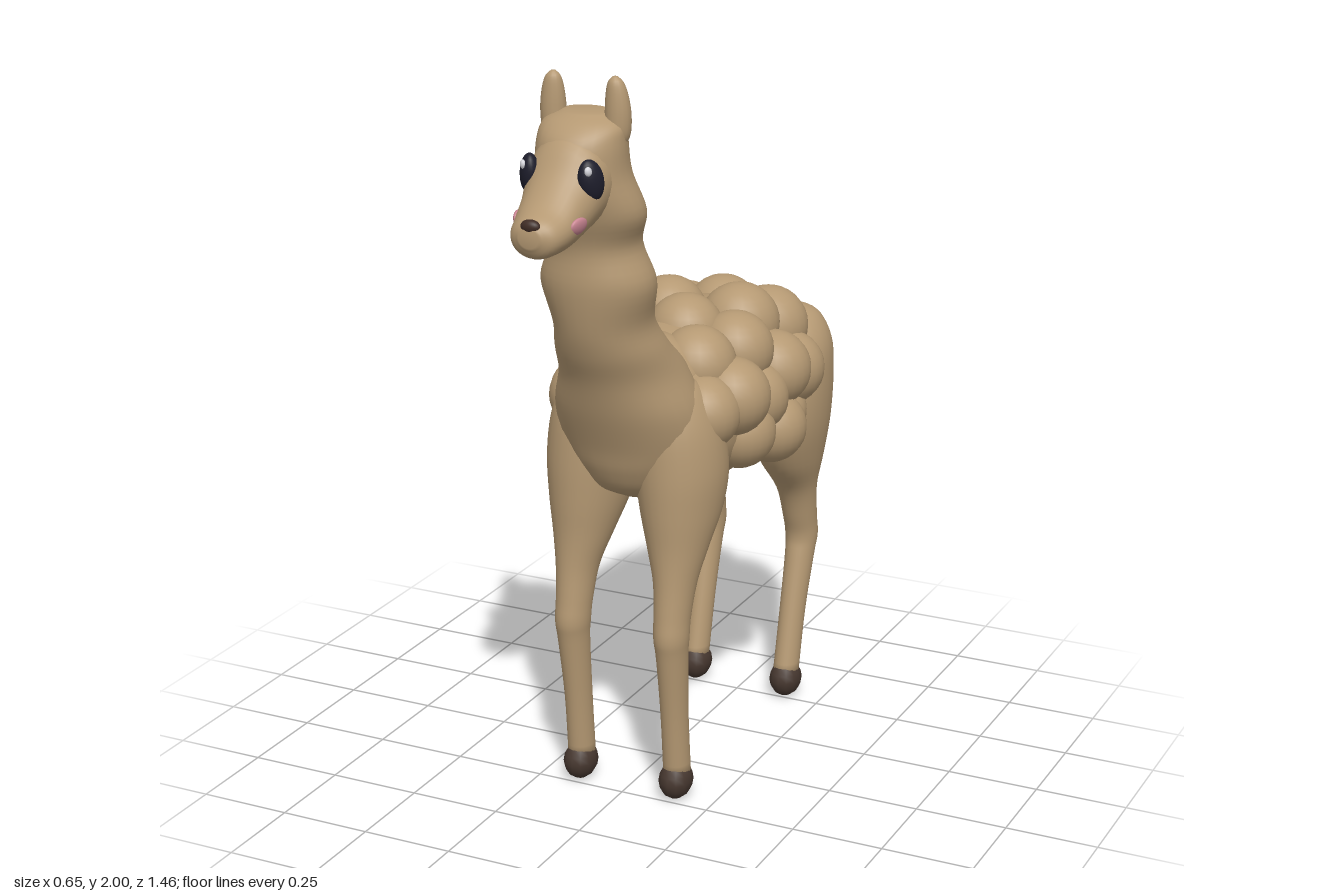
import * as THREE from 'three';

const mat = (name, color) => {
  const m = new THREE.MeshStandardMaterial({ color });
  m.name = name;
  return m;
};

// Smooth skin over elliptical rings [x, y, z, rx, r2], listed in ascending order along the axis.
// Axis 'y' has rings lying flat, axis 'z' has upright rings.
function loft(rings, axis, steps = 5, sides = 28) {
  const path = new THREE.CatmullRomCurve3(rings.map(r => new THREE.Vector3(r[0], r[1], r[2])), false, 'catmullrom', 0.5);
  const size = new THREE.CatmullRomCurve3(rings.map(r => new THREE.Vector3(r[3], r[4], 0)), false, 'catmullrom', 0.5);
  const rows = (rings.length - 1) * steps;
  const pos = [], index = [];
  for (let i = 0; i <= rows; i++) {
    const c = path.getPoint(i / rows), s = size.getPoint(i / rows);
    for (let j = 0; j < sides; j++) {
      const a = (j / sides) * Math.PI * 2;
      const u = Math.cos(a) * s.x, v = Math.sin(a) * s.y;
      if (axis === 'y') pos.push(c.x + u, c.y, c.z + v);
      else pos.push(c.x + u, c.y - v, c.z);
    }
  }
  for (let i = 0; i < rows; i++) {
    for (let j = 0; j < sides; j++) {
      const k = (j + 1) % sides;
      const a = i * sides + j, b = i * sides + k, c = a + sides, d = b + sides;
      index.push(a, c, b, b, c, d);
    }
  }
  // end caps
  const start = pos.length / 3;
  pos.push(...path.getPoint(0).toArray(), ...path.getPoint(1).toArray());
  for (let j = 0; j < sides; j++) {
    const k = (j + 1) % sides;
    index.push(start, j, k, start + 1, rows * sides + k, rows * sides + j);
  }
  const g = new THREE.BufferGeometry();
  g.setAttribute('position', new THREE.Float32BufferAttribute(pos, 3));
  g.setIndex(index);
  g.computeVertexNormals();
  return g;
}

export function createModel() {
  const model = new THREE.Group();
  model.name = 'woollyAnimal';
  const coat = mat('tan coat', 0xb59973);
  const hoofMat = mat('dark hoof', 0x46372f);
  const eyeMat = mat('eye navy', 0x1e1e2c);
  const shineMat = mat('eye shine', 0xd8d8de);
  const blush = mat('cheek pink', 0xc98592);
  const noseMat = mat('nose brown', 0x3f2c25);

  const add = (name, geometry, material, parent = model) => {
    const m = new THREE.Mesh(geometry, material);
    m.name = name;
    parent.add(m);
    return m;
  };
  const ball = (name, material, [x, y, z], [rx, ry, rz], parent = model, seg = 24) => {
    const m = add(name, new THREE.SphereGeometry(1, seg, Math.round(seg * 0.67)), material, parent);
    m.position.set(x, y, z);
    m.scale.set(rx, ry, rz);
    return m;
  };

  // torso, from rump to chest
  add('torso', loft([
    [0, 1.01, -0.67, 0.06, 0.06], [0, 1.01, -0.63, 0.15, 0.13], [0, 1.01, -0.54, 0.2, 0.18],
    [0, 1.015, -0.4, 0.235, 0.215], [0, 1.02, -0.2, 0.25, 0.235], [0, 1.02, 0.0, 0.24, 0.23],
    [0, 1.02, 0.12, 0.21, 0.21], [0, 1.04, 0.22, 0.16, 0.16], [0, 1.05, 0.27, 0.06, 0.06],
  ], 'z'), coat);
  ball('withers', coat, [0, 1.12, 0.09], [0.165, 0.135, 0.14]);

  // chest, neck and skull
  add('neck', loft([
    [0, 0.83, 0.15, 0.05, 0.04], [0, 0.87, 0.155, 0.12, 0.11], [0, 0.93, 0.165, 0.165, 0.138],
    [0, 1.0, 0.175, 0.195, 0.153], [0, 1.1, 0.2, 0.195, 0.17], [0, 1.2, 0.233, 0.162, 0.174],
    [0, 1.28, 0.295, 0.143, 0.152], [0, 1.36, 0.338, 0.127, 0.137], [0, 1.47, 0.365, 0.149, 0.13],
    [0, 1.57, 0.381, 0.119, 0.115], [0, 1.66, 0.41, 0.146, 0.118], [0, 1.76, 0.442, 0.119, 0.122],
    [0, 1.84, 0.446, 0.113, 0.108], [0, 1.885, 0.43, 0.105, 0.085], [0, 1.91, 0.42, 0.06, 0.045],
  ], 'y'), coat);

  // face and muzzle
  add('muzzle', loft([
    [0, 1.76, 0.42, 0.105, 0.11], [0, 1.745, 0.53, 0.105, 0.122], [0, 1.695, 0.6, 0.088, 0.091],
    [0, 1.663, 0.66, 0.077, 0.063], [0, 1.653, 0.705, 0.06, 0.049], [0, 1.658, 0.727, 0.027, 0.024],
  ], 'z'), coat);
  ball('nose', noseMat, [0, 1.686, 0.715], [0.026, 0.017, 0.015]);

  for (const s of [1, -1]) {
    const side = s > 0 ? 'left' : 'right';

    add(side + 'Ear', loft([
      [s * 0.08, 1.81, 0.425, 0.01, 0.01], [s * 0.085, 1.85, 0.425, 0.03, 0.03],
      [s * 0.088, 1.9, 0.427, 0.033, 0.031], [s * 0.087, 1.95, 0.43, 0.029, 0.026],
      [s * 0.085, 1.985, 0.433, 0.02, 0.018], [s * 0.084, 2.0, 0.434, 0.006, 0.006],
    ], 'y', 4, 16), coat);

    // eye with a small shine, turned outward
    const eye = new THREE.Group();
    eye.name = side + 'Eye';
    eye.position.set(s * 0.083, 1.772, 0.563);
    eye.rotation.set(0, s * 0.96, s * 0.2);
    model.add(eye);
    ball(side + 'Eyeball', eyeMat, [0, 0, 0], [0.033, 0.053, 0.024], eye);
    ball(side + 'EyeShine', shineMat, [s * -0.011, 0.03, 0.018], [0.01, 0.012, 0.007], eye, 12);
    const cheek = ball(side + 'Cheek', blush, [s * 0.08, 1.674, 0.625], [0.01, 0.022, 0.031]);
    cheek.rotation.set(0, s * -0.2, s * -0.25);

    // front leg with knee and shoulder
    add(side + 'FrontLeg', loft([
      [s * 0.143, 0.07, 0.205, 0.036, 0.042], [s * 0.143, 0.25, 0.222, 0.036, 0.043],
      [s * 0.145, 0.42, 0.241, 0.041, 0.05], [s * 0.145, 0.48, 0.246, 0.046, 0.055],
      [s * 0.144, 0.54, 0.238, 0.048, 0.057], [s * 0.143, 0.63, 0.218, 0.057, 0.068],
      [s * 0.138, 0.72, 0.19, 0.08, 0.093], [s * 0.133, 0.82, 0.16, 0.106, 0.127],
      [s * 0.128, 0.93, 0.15, 0.12, 0.138], [s * 0.118, 1.05, 0.155, 0.112, 0.125],
      [s * 0.1, 1.14, 0.165, 0.085, 0.09], [s * 0.09, 1.18, 0.17, 0.035, 0.035],
    ], 'y'), coat);

    // hind leg with hock and thigh
    add(side + 'HindLeg', loft([
      [s * 0.143, 0.07, -0.525, 0.036, 0.042], [s * 0.143, 0.25, -0.567, 0.036, 0.043],
      [s * 0.145, 0.41, -0.609, 0.041, 0.048], [s * 0.145, 0.47, -0.622, 0.046, 0.05],
      [s * 0.144, 0.53, -0.61, 0.048, 0.053], [s * 0.143, 0.63, -0.583, 0.057, 0.065],
      [s * 0.14, 0.73, -0.55, 0.085, 0.118], [s * 0.135, 0.85, -0.53, 0.113, 0.158],
      [s * 0.133, 0.98, -0.53, 0.123, 0.157], [s * 0.13, 1.08, -0.54, 0.118, 0.132],
      [s * 0.125, 1.15, -0.55, 0.085, 0.088], [s * 0.12, 1.18, -0.55, 0.03, 0.03],
    ], 'y'), coat);

    for (const [name, z] of [['Front', 0.212], ['Hind', -0.525]])
      ball(side + name + 'Hoof', hoofMat, [s * 0.143, 0.055, z], [0.045, 0.053, 0.056], model, 12);
  }

  // woolly tufts on the back and flanks: x, y, z, radius
  const wool = new THREE.Group();
  wool.name = 'wool';
  model.add(wool);
  const tufts = [
    [-0.1, 1.2, -0.25, 0.105], [0.1, 1.195, -0.27, 0.11], [0.02, 1.205, -0.1, 0.105],
    [-0.03, 1.16, -0.45, 0.105], [0.12, 1.15, -0.42, 0.11], [-0.14, 1.13, -0.44, 0.105],
    [-0.1, 1.155, 0.03, 0.105], [0.11, 1.16, 0.02, 0.105], [0.15, 1.165, -0.13, 0.105],
    [-0.14, 1.14, -0.11, 0.115], [0, 1.1, -0.56, 0.1],
    [-0.215, 1.05, -0.27, 0.115], [-0.2, 1.04, -0.02, 0.11], [-0.17, 1.06, 0.09, 0.108],
    [-0.195, 0.95, -0.2, 0.105], [-0.185, 1.05, -0.4, 0.105], [-0.175, 0.95, -0.33, 0.085],
    [-0.175, 0.97, -0.08, 0.095], [-0.18, 1.1, -0.15, 0.108],
    [0.212, 1.09, -0.24, 0.105], [0.2, 1.08, 0.0, 0.105], [0.195, 1.05, -0.38, 0.103],
    [0.225, 0.94, -0.2, 0.099], [0.195, 0.965, -0.06, 0.1], [0.165, 1.06, 0.1, 0.1],
    [0.185, 0.94, -0.33, 0.085], [0.2, 1.04, -0.13, 0.1],
  ];
  for (const [x, y, z, r] of tufts) ball('woolTuft', coat, [x, y, z], [r, r, r], wool);

  ball('tail', coat, [0, 1.065, -0.65], [0.075, 0.088, 0.08]);
  return model;
}
